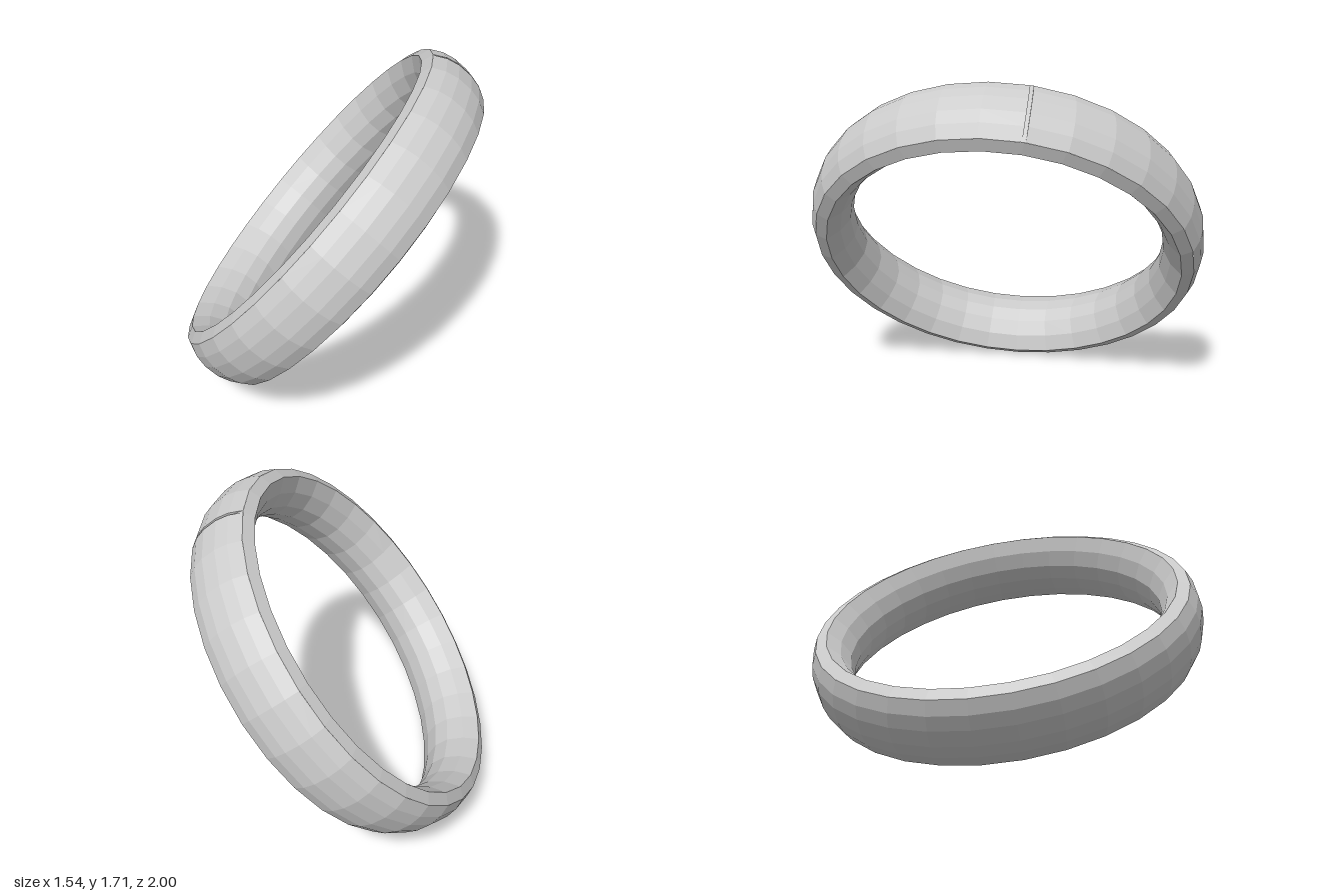
import * as THREE from 'three';

const SEGMENTS = 32;
const SLIT = 0.016; // angle of the hairline slit

// Half profiles as [radius, height], from the middle plane outwards
const OUTER = [[1.015, 0.04], [1.0, 0.105], [0.967, 0.168]];
const INNER = [[0.815, 0.04], [0.85, 0.12], [0.907, 0.188]];
const FLOOR = [[0.998, 0.04], [0.985, 0.105], [0.967, 0.168]];

// Full profile from bottom to top, mirrored about the middle plane
function mirrored(half) {
  const upper = half.map(([r, y]) => new THREE.Vector2(r, y));
  const lower = half.map(([r, y]) => new THREE.Vector2(r, -y)).reverse();
  return [...lower, ...upper];
}

export function createModel() {
  const model = new THREE.Group();
  model.name = 'bangle';
  const ring = new THREE.Group();
  ring.name = 'tiltedRing';
  model.add(ring);

  const mat = new THREE.MeshStandardMaterial({ color: 0xcccccc, flatShading: true });
  const wallMat = mat.clone();
  wallMat.side = THREE.DoubleSide;
  const add = (name, geometry, material = mat) => {
    const mesh = new THREE.Mesh(geometry, material);
    mesh.name = name;
    ring.add(mesh);
    return mesh;
  };

  const outer = mirrored(OUTER);
  const inner = mirrored(INNER).reverse();
  const floor = mirrored(FLOOR);

  // Unbroken inside with the two sloping rims
  const rimAndInside = [outer[outer.length - 1], ...inner, outer[0]];
  add('rimAndInside', new THREE.LatheGeometry(rimAndInside, SEGMENTS));

  // Domed outside, open at the slit
  add('outerBand', new THREE.LatheGeometry(outer, SEGMENTS, SLIT / 2, Math.PI * 2 - SLIT));

  // Shallow slit: floor and two side walls
  add('slitFloor', new THREE.LatheGeometry(floor, 1, -SLIT / 2, SLIT));
  const wallShape = new THREE.Shape([...outer, ...floor.slice(1, -1).reverse()]);
  for (const side of [1, -1]) {
    const wall = add(side > 0 ? 'slitWallA' : 'slitWallB', new THREE.ShapeGeometry(wallShape), wallMat);
    wall.rotation.y = side * SLIT / 2 - Math.PI / 2;
  }

  // Tilt: the ring axis, with local +z pointing to the slit
  const axis = new THREE.Vector3(-0.742, 0.633, 0.22).normalize();
  const slit = new THREE.Vector3(0.56, 0.73, -0.37).projectOnPlane(axis).normalize();
  const across = new THREE.Vector3().crossVectors(axis, slit);
  ring.quaternion.setFromRotationMatrix(new THREE.Matrix4().makeBasis(across, axis, slit));

  // Rest the lowest point on the ground
  ring.position.y = -new THREE.Box3().setFromObject(model, true).min.y;
  return model;
}
